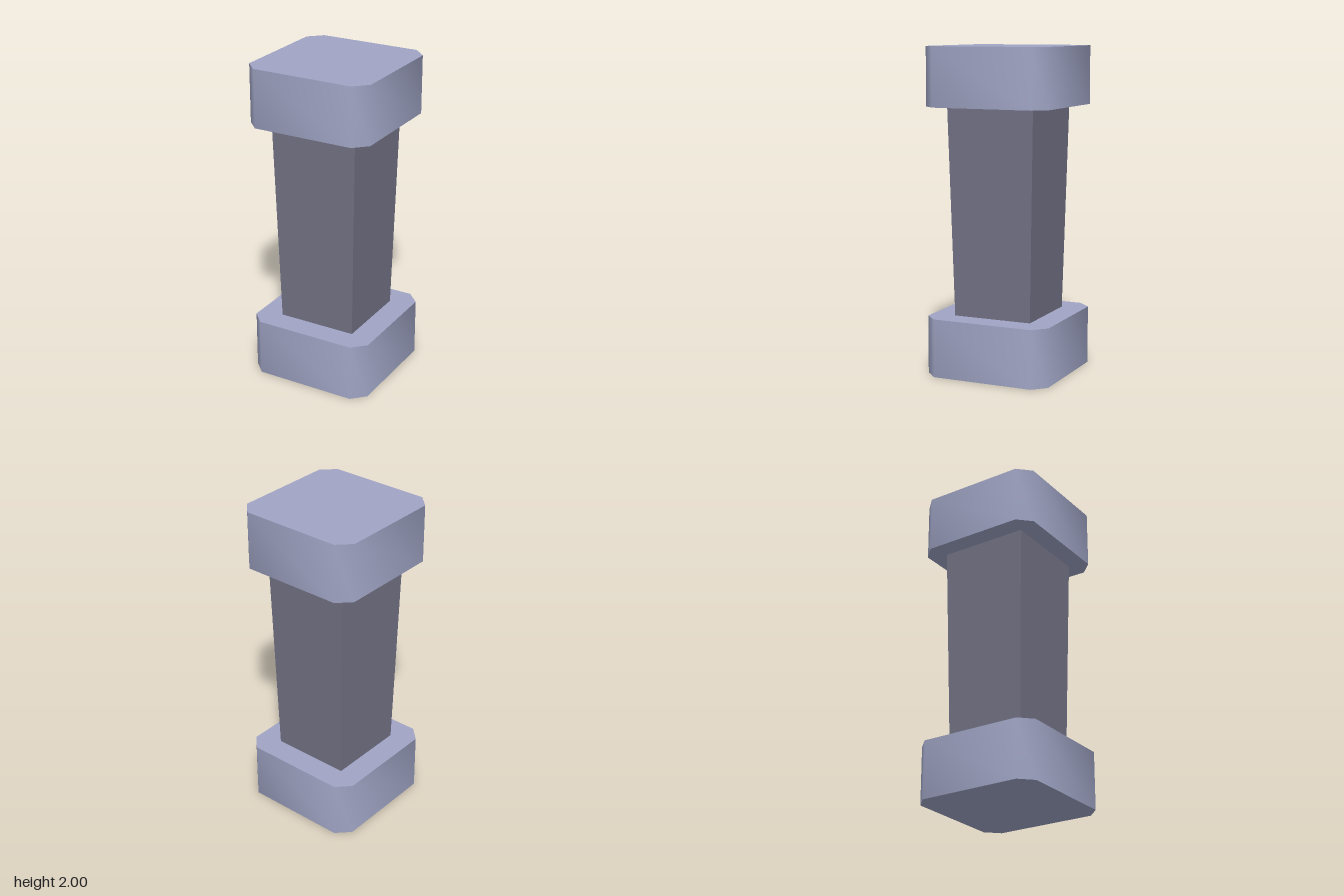
import * as THREE from 'three';
import { toCreasedNormals } from 'three/addons/utils/BufferGeometryUtils.js';

const HALF = 0.4, CUT = 0.08, SLAB = 0.36, HEIGHT = 2;

// Square block with cut corners, smooth around the sides and sharp at the rims
function slabGeometry() {
  const a = HALF, b = HALF - CUT;
  const outline = [[b, -a], [a, -b], [a, b], [b, a], [-b, a], [-a, b], [-a, -b], [-b, -a]];
  const shape = new THREE.Shape(outline.map(([x, y]) => new THREE.Vector2(x, y)));
  const geometry = new THREE.ExtrudeGeometry(shape, { depth: SLAB, bevelEnabled: false });
  geometry.rotateX(-Math.PI / 2);
  return toCreasedNormals(geometry, Math.PI / 3);
}

// Square shaft that widens slightly towards the top
function shaftGeometry(bottomHalf, topHalf) {
  const geometry = new THREE.BoxGeometry(1, HEIGHT - 2 * SLAB, 1);
  const p = geometry.attributes.position;
  for (let i = 0; i < p.count; i++) {
    const s = 2 * (p.getY(i) > 0 ? topHalf : bottomHalf);
    p.setX(i, p.getX(i) * s);
    p.setZ(i, p.getZ(i) * s);
  }
  geometry.computeVertexNormals();
  return geometry;
}

export function createModel() {
  const paleStone = new THREE.MeshStandardMaterial({ color: 0xa0a5c5 });
  paleStone.name = 'pale stone';
  const darkStone = new THREE.MeshStandardMaterial({ color: 0x727285 });
  darkStone.name = 'dark stone';

  const group = new THREE.Group();
  group.name = 'pillar';
  const add = (name, geometry, material, y) => {
    const mesh = new THREE.Mesh(geometry, material);
    mesh.name = name;
    mesh.position.y = y;
    group.add(mesh);
  };

  const slab = slabGeometry();
  add('base', slab, paleStone, 0);
  add('shaft', shaftGeometry(0.25, 0.28), darkStone, HEIGHT / 2);
  add('capital', slab, paleStone, HEIGHT - SLAB);
  return group;
}
